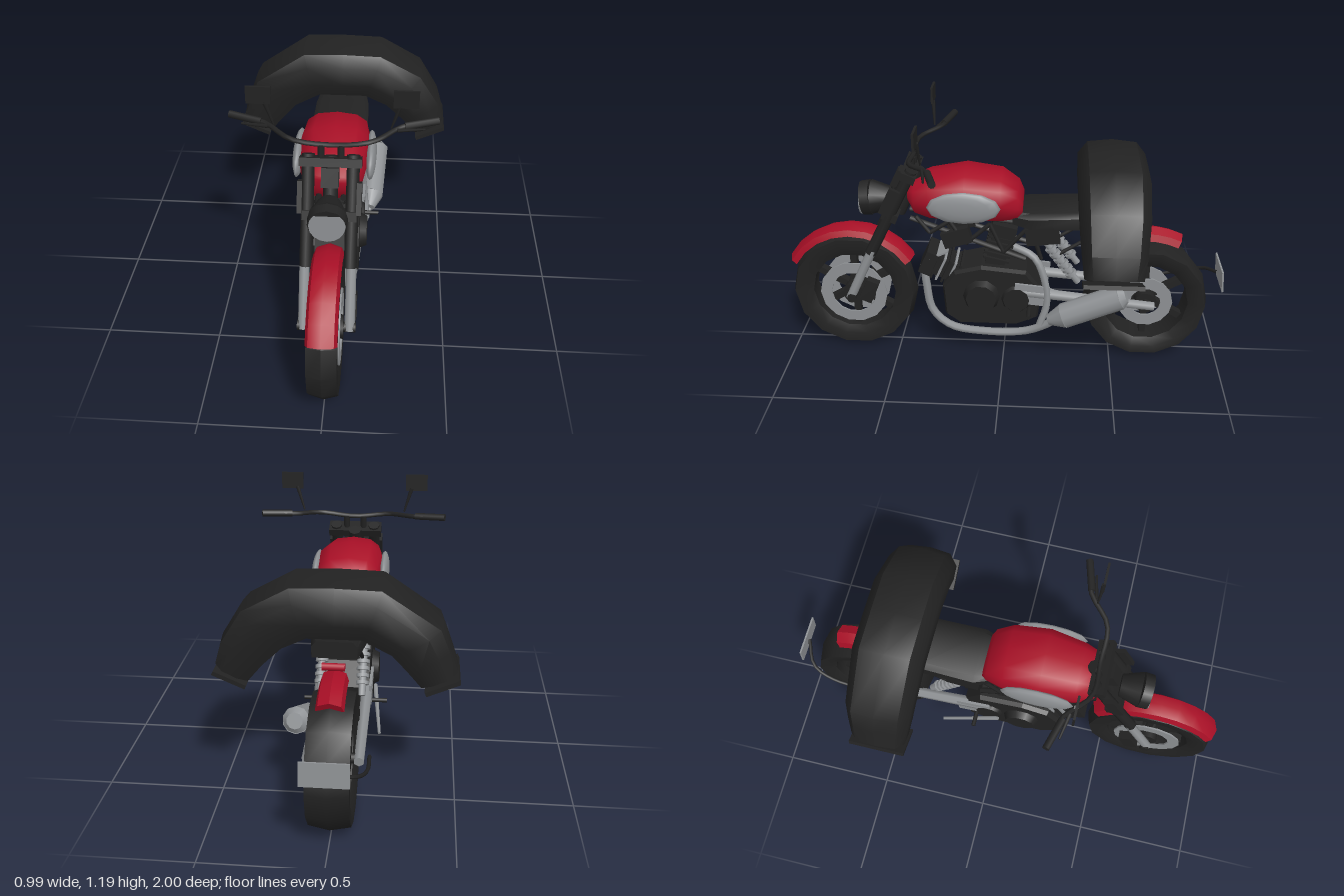
import * as THREE from 'three';
import { toCreasedNormals } from 'three/addons/utils/BufferGeometryUtils.js';

const V = (x, y, z) => new THREE.Vector3(x, y, z);
const material = (name, color) => {
  const m = new THREE.MeshStandardMaterial({ color });
  m.name = name;
  return m;
};

// Closed skin through rings of points, with flat ends and outward faces
function loft(rings, crease = 0.75) {
  const n = rings[0].length, pts = rings.flat(), idx = [];
  for (let i = 0; i < rings.length - 1; i++) for (let j = 0; j < n; j++) {
    const a = i * n + j, b = i * n + (j + 1) % n;
    idx.push(a, b, b + n, a, b + n, a + n);
  }
  [0, rings.length - 1].forEach((r, end) => {
    const mid = V(0, 0, 0);
    rings[r].forEach(p => mid.addScaledVector(p, 1 / n));
    const c = pts.push(mid) - 1;
    for (let j = 0; j < n; j++) {
      const a = r * n + j, b = r * n + (j + 1) % n;
      end ? idx.push(c, a, b) : idx.push(c, b, a);
    }
  });
  let volume = 0;
  for (let i = 0; i < idx.length; i += 3)
    volume += pts[idx[i]].dot(pts[idx[i + 1]].clone().cross(pts[idx[i + 2]]));
  if (volume < 0) idx.reverse();
  const g = new THREE.BufferGeometry().setFromPoints(pts);
  g.setIndex(idx);
  return toCreasedNormals(g, crease);
}

// Curved mudguard around a wheel centre; angles in degrees from the front
function mudguard(cy, cz, scale, width, from, to, steps) {
  const section = [[.295, -.062], [.322, -.05], [.338, 0], [.322, .05], [.295, .062],
    [.295, .054], [.312, .042], [.328, 0], [.312, -.042], [.295, -.054]];
  const rings = [];
  for (let i = 0; i <= steps; i++) {
    const a = THREE.MathUtils.degToRad(from + (to - from) * i / steps);
    rings.push(section.map(([r, x]) =>
      V(x * width, cy + r * scale * Math.sin(a), cz + r * scale * Math.cos(a))));
  }
  return loft(rings);
}

export function createModel() {
  const root = new THREE.Group();
  root.name = 'motorcycle';
  const black = material('black', 0x222222);
  const red = material('red', 0xa80f26);
  const silver = material('silver', 0x8e9194);

  const add = (name, geo, mat, parent = root) => {
    const m = new THREE.Mesh(geo, mat);
    m.name = name;
    parent.add(m);
    return m;
  };
  const bar = (name, a, b, r, mat, r2 = r, sides = 8, parent = root) => {
    const d = b.clone().sub(a);
    const m = add(name, new THREE.CylinderGeometry(r2, r, d.length(), sides), mat, parent);
    m.position.copy(a).addScaledVector(d, .5);
    m.quaternion.setFromUnitVectors(V(0, 1, 0), d.normalize());
    return m;
  };
  const box = (name, size, pos, mat, rx = 0, rz = 0, parent = root) => {
    const m = add(name, new THREE.BoxGeometry(...size), mat, parent);
    m.position.set(...pos);
    m.rotation.set(rx, 0, rz);
    return m;
  };
  const pipe = (name, pts, r, mat, sides = 7) => add(name,
    new THREE.TubeGeometry(new THREE.CatmullRomCurve3(pts.map(p => V(...p))), pts.length * 3, r, sides), mat);
  const ring = (profile, sides) => toCreasedNormals(new THREE.LatheGeometry(
    profile.map(p => new THREE.Vector2(...p)), sides).rotateZ(Math.PI / 2), .6);

  // Wheels: tyre, spokes, hub and brake discs
  function wheel(name, y, z, R, w, discIn, discOut) {
    const g = new THREE.Group();
    g.name = name;
    g.position.set(0, y, z);
    root.add(g);
    add('tyre', ring([[.195, -w * .75], [.235, -w], [R - .016, -w], [R, 0], [R - .016, w],
      [.235, w], [.195, w * .75], [.195, -w * .75]], 14), black, g);
    bar('hub', V(-.07, 0, 0), V(.07, 0, 0), .05, black, .05, 10, g);
    bar('axle', V(-.12, 0, 0), V(.12, 0, 0), .022, black, .022, 8, g);
    for (let i = 0; i < 6; i++) {
      const a = i * Math.PI / 3;
      box('spoke', [.04, .18, .03], [0, .12 * Math.cos(a), .12 * Math.sin(a)], black, a, 0, g);
    }
    for (const s of [-1, 1]) {
      add('brakeDisc', ring([[discIn, -.004], [discOut, -.004], [discOut, .004],
        [discIn, .004], [discIn, -.004]], 14), silver, g).position.x = s * .058;
    }
  }
  wheel('frontWheel', .3, .705, .296, .06, .105, .158);
  wheel('rearWheel', .295, -.655, .287, .086, .07, .125);

  // Mudguards and tail light
  add('frontMudguard', mudguard(.3, .705, 1, 1, 29, 148, 8), red);
  add('rearMudguard', mudguard(.27, -.64, 1.15, .9, 80, 115, 4), red);
  bar('tailLight', V(-.045, .69, -.635), V(.045, .69, -.635), .016, red);

  // Front forks, calipers, clamps and headlight
  for (const s of [-1, 1]) {
    bar('forkLower', V(s * .095, .29, .715), V(s * .095, .55, .595), .021, silver);
    bar('forkUpper', V(s * .09, .53, .605), V(s * .09, .94, .4), .026, black);
    box('caliper', [.04, .11, .06], [s * .1, .34, .62], black, -.4);
    box('headlightBracket', [.02, .13, .05], [s * .118, .8, .5], black, -.45);
  }
  box('topClamp', [.25, .035, .07], [0, .915, .415], black, -.4);
  box('lowerClamp', [.22, .04, .07], [0, .72, .505], black, -.4);
  box('instruments', [.07, .08, .05], [0, .87, .46], black, -.4);
  bar('steeringHead', V(0, .7, .48), V(0, .92, .38), .03, black);
  bar('headlightBowl', V(0, .77, .51), V(0, .77, .6), .05, black, .08, 12);
  bar('headlightRim', V(0, .77, .6), V(0, .765, .642), .08, black, .078, 12);
  bar('headlightLens', V(0, .765, .64), V(0, .765, .648), .074, silver, .072, 16);

  // Handlebar, grips, levers and mirrors
  pipe('handlebar', [[-.4, 1.028, .27], [-.28, 1.018, .3], [-.16, 1, .395], [0, .983, .4],
    [.16, 1, .395], [.28, 1.018, .3], [.4, 1.028, .27]], .011, black, 6);
  for (const s of [-1, 1]) {
    bar('grip', V(s * .29, 1.02, .3), V(s * .425, 1.028, .262), .016, black);
    bar('lever', V(s * .26, 1.015, .325), V(s * .37, 1.012, .305), .009, black, .005, 5);
    bar('riser', V(s * .04, .91, .41), V(s * .04, .985, .4), .014, black);
    bar('mirrorStem', V(s * .235, 1.03, .335), V(s * .268, 1.14, .342), .004, black, .01, 5);
    box('mirror', [.1, .075, .01], [s * .29, 1.167, .345], black);
  }

  // Fuel tank: z, top, bottom, half width
  const tankStations = [[.425, .85, .785, .085], [.395, .875, .72, .112], [.33, .902, .7, .133],
    [.17, .93, .695, .155], [.01, .908, .695, .143], [-.065, .855, .705, .118], [-.085, .8, .735, .1]];
  const soft = v => Math.sign(v) * Math.abs(v) ** .75;
  add('fuelTank', loft(tankStations.map(([z, t, b, w]) => Array.from({ length: 12 }, (_, i) => {
    const a = i * Math.PI / 6;
    return V(w * soft(Math.cos(a)), (t + b) / 2 + (t - b) / 2 * soft(Math.sin(a)), z);
  })), 1), red);
  for (const s of [-1, 1]) {
    const panel = add('tankPanel', new THREE.SphereGeometry(1, 12, 8).rotateZ(Math.PI / 2), silver);
    panel.scale.set(.024, .075, .162);
    panel.position.set(s * .154, .797, .17);
  }

  // Seat: z, top, bottom, half width
  const seatStations = [[-.04, .755, .7, .1], [-.12, .755, .69, .13], [-.35, .765, .69, .125], [-.6, .78, .71, .09]];
  add('seat', loft(seatStations.map(([z, t, b, w]) => [V(-w, b, z), V(w, b, z),
    V(w, t - .02, z), V(w * .8, t, z), V(-w * .8, t, z), V(-w, t - .02, z)])), black);

  // Saddlebag arched over the tail: outer x, y, inner x, y, depth scale
  const arch = [[-.487, .65, -.342, .582, .8], [-.455, .745, -.285, .655, .88], [-.42, .84, -.225, .725, .94],
    [-.185, 1, -.11, .79, 1], [0, 1.006, 0, .79, 1], [.18, 1, .11, .79, 1],
    [.375, .893, .21, .74, .96], [.465, .745, .29, .66, .88], [.49, .652, .352, .582, .8]];
  const bagSection = [[0, -.125], [.3, -.152], [.72, -.152], [.95, -.11], [1, 0],
    [.95, .11], [.72, .152], [.3, .152], [0, .125]];
  add('saddlebag', loft(arch.map(([ox, oy, ix, iy, k]) => bagSection.map(([t, z]) =>
    V(ix + (ox - ix) * t, iy + (oy - iy) * t, -.475 + z * k)))), black);
  for (const s of [-1, 1])
    box('bagFlap', [.145, .018, .25], [s * .425, .592, -.472], black, 0, s * .42);

  // Frame tubes, side covers and ignition boxes
  for (const s of [-1, 1]) {
    const x = s * .085;
    const nodes = [[.39, .72], [.33, .64], [.24, .7], [.17, .59], [.06, .69], [0, .55], [-.12, .69], [-.17, .52]];
    for (let i = 0; i < nodes.length - 1; i++)
      bar('frameBrace', V(x, nodes[i][1], nodes[i][0]), V(x, nodes[i + 1][1], nodes[i + 1][0]), .01, black, .01, 6);
    bar('frameLower', V(s * .06, .7, .42), V(x, .52, -.1), .013, black, .013, 6);
    bar('frameUpper', V(s * .05, .74, .42), V(x, .69, -.2), .013, black, .013, 6);
    bar('subframe', V(x, .53, -.22), V(x, .68, -.45), .009, black, .009, 6);
    box('sideCover', [.03, .085, .15], [s * .1, .65, -.175], black, .12);
    box('ignitionBox', [.04, .075, .13], [s * .08, .62, .21], black, .3);
    bar('footPeg', V(s * .1, .27, -.12), V(s * .19, .27, -.12), .01, black);
  }

  // Engine: crankcase, covers and two cylinders in a V
  const outline = [[.27, .37], [.26, .23], [.2, .185], [-.06, .185], [-.15, .225], [-.17, .36],
    [-.1, .45], [.1, .47], [.22, .44]];
  const crankcase = new THREE.ExtrudeGeometry(new THREE.Shape(outline.map(p => new THREE.Vector2(...p))),
    { depth: .18, bevelEnabled: true, bevelSize: .01, bevelThickness: .02, bevelSegments: 1 });
  add('crankcase', crankcase.rotateY(-Math.PI / 2).translate(.09, 0, 0), black);
  for (const s of [-1, 1]) {
    bar('engineCover', V(s * .1, .33, .1), V(s * .142, .33, .1), .09, black, .07, 10);
    bar('clutchCover', V(s * .1, .32, -.06), V(s * .125, .32, -.06), .075, black, .06, 10);
  }
  function cylinder(name, y, z, tilt, length, finMat) {
    const g = new THREE.Group();
    g.name = name;
    g.position.set(0, y, z);
    g.rotation.x = tilt;
    root.add(g);
    box('barrel', [.13, length, .09], [0, length / 2, 0], black, 0, 0, g);
    for (let i = 0; i < 5; i++)
      box('fin', [.16, .01, .12], [0, length * (.4 + i * .1), 0], i % 2 ? finMat : black, 0, 0, g);
    box('head', [.15, length * .22, .115], [0, length * .93, 0], black, 0, 0, g);
  }
  cylinder('frontCylinder', .37, .12, 1.15, .265, silver);
  cylinder('rearCylinder', .4, .06, -.24, .27, black);
  box('oilCooler', [.15, .008, .1], [0, .515, .3], silver, .42);

  // Exhaust pipes and muffler on the left
  pipe('frontExhaust', [[.04, .45, .37], [.05, .35, .36], [.06, .22, .335], [.075, .145, .25],
    [.09, .125, .08], [.1, .14, -.1], [.13, .2, -.2], [.15, .25, -.25]], .019, silver);
  pipe('rearExhaust', [[.05, .57, -.03], [.09, .53, -.14], [.11, .42, -.19], [.12, .3, -.2], [.13, .2, -.17]], .017, silver);
  bar('mufflerCone', V(.145, .235, -.21), V(.152, .265, -.28), .025, silver, .058, 10);
  bar('muffler', V(.152, .265, -.28), V(.168, .385, -.53), .058, silver, .058, 10);
  bar('mufflerTip', V(.168, .385, -.53), V(.17, .395, -.555), .058, silver, .035, 10);

  // Rear suspension
  for (const s of [-1, 1]) {
    bar('swingarm', V(s * .1, .36, -.06), V(s * .105, .3, -.69), .028, silver, .022, 6);
    box('footPlate', [.012, .1, .16], [s * .118, .35, -.13], silver, -.1);
    const top = V(s * .09, .61, -.19), low = V(s * .09, .41, -.34);
    bar('shockAbsorber', top, low, .016, silver);
    for (let i = 1; i < 7; i++)
      bar('springCoil', top.clone().lerp(low, i / 8), top.clone().lerp(low, i / 8 + .06), .028, silver);
  }

  // Side stand, plate bracket and rear plate
  bar('sideStand', V(-.13, .29, -.01), V(-.165, .19, -.28), .011, silver, .007, 6);
  pipe('plateBracket', [[-.145, .31, -.66], [-.145, .35, -.83], [-.11, .39, -.93], [0, .43, -.98]], .008, black, 6);
  box('rearPlate', [.19, .1, .008], [0, .43, -.99], silver, .08);
  return root;
}
